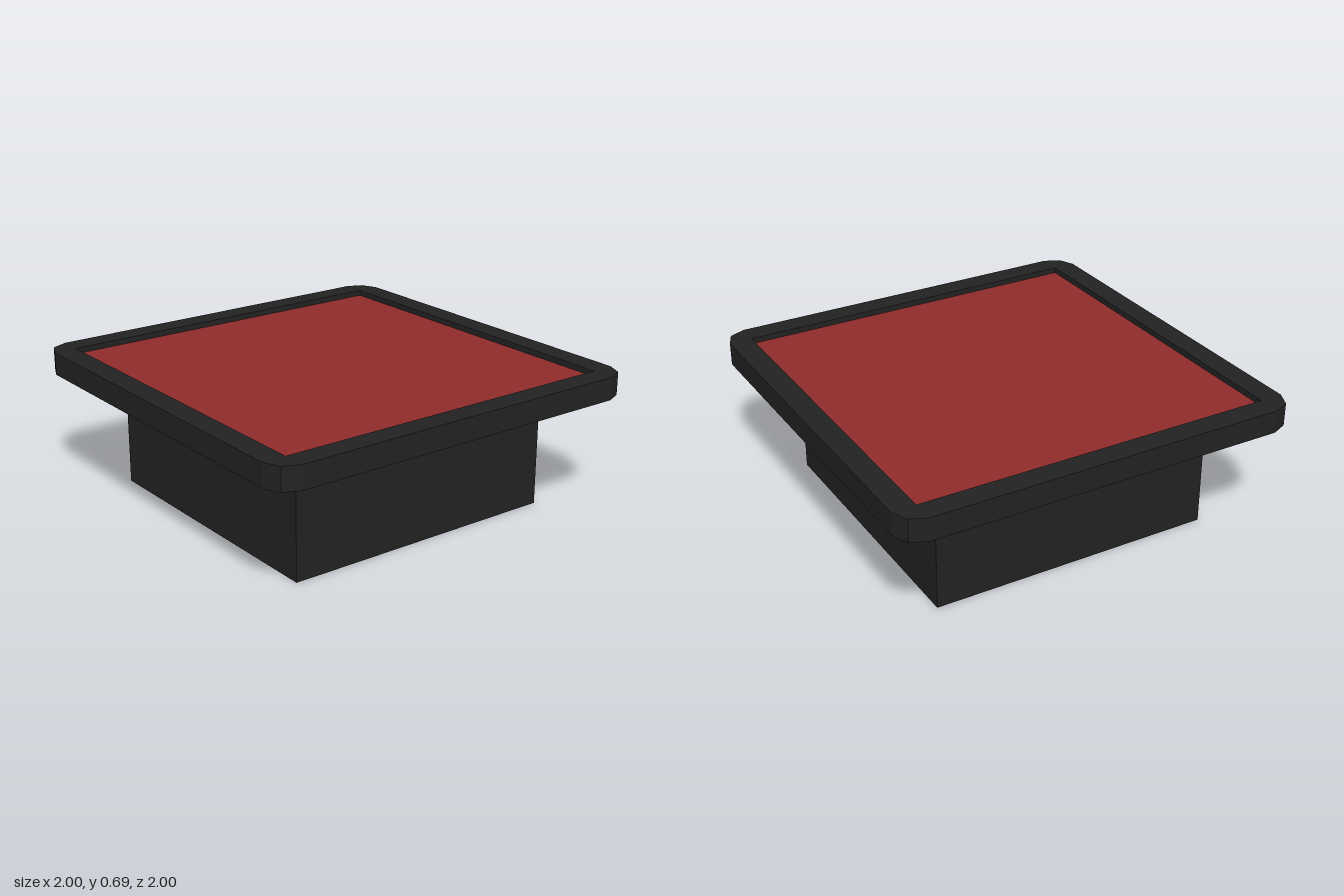
import * as THREE from 'three';

export function createModel() {
  const black = new THREE.MeshStandardMaterial({ color: 0x222222 });
  black.name = 'black';
  const red = new THREE.MeshStandardMaterial({ color: 0x902c2c });
  red.name = 'red';

  const group = new THREE.Group();
  const add = (name, geometry, material, y) => {
    const mesh = new THREE.Mesh(geometry, material);
    mesh.name = name;
    mesh.position.y = y;
    group.add(mesh);
  };

  const baseTop = 0.575, rimTop = 0.688, panelTop = 0.66, inner = 0.886;

  // Square pedestal
  add('base', new THREE.BoxGeometry(1.425, baseTop, 1.425), black, baseTop / 2);

  // Outline with corners rounded in two facets
  const corner = [[1, inner], [0.965, 0.965], [inner, 1]];
  const outline = [];
  for (let i = 0; i < 4; i++) {
    for (const [x, y] of corner) {
      outline.push(new THREE.Vector2(x, y).rotateAround(new THREE.Vector2(), i * Math.PI / 2));
    }
  }
  const slab = (height, hole) => {
    const shape = new THREE.Shape(outline);
    if (hole) {
      shape.holes.push(new THREE.Path([[-1, -1], [-1, 1], [1, 1], [1, -1]]
        .map(([x, y]) => new THREE.Vector2(x * inner, y * inner))));
    }
    return new THREE.ExtrudeGeometry(shape, { depth: height, bevelEnabled: false }).rotateX(-Math.PI / 2);
  };

  // Tray floor and the raised rim around the panel
  const floorTop = panelTop - 0.008;
  add('trayFloor', slab(floorTop - baseTop, false), black, baseTop);
  add('rim', slab(rimTop - floorTop, true), black, floorTop);

  // Recessed red panel
  add('panel', new THREE.BoxGeometry(inner * 2, 0.008, inner * 2), red, panelTop - 0.004);

  return group;
}
